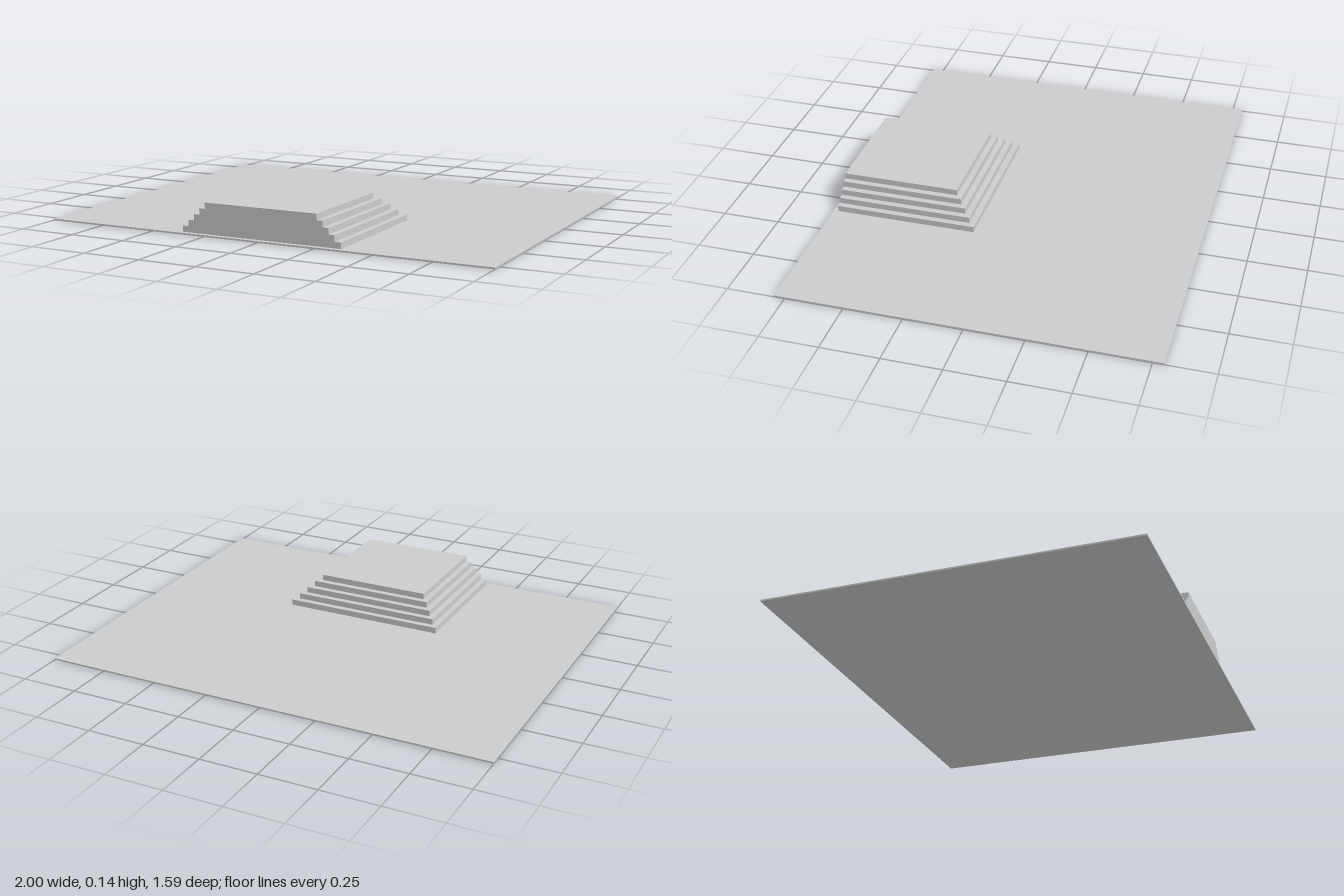
import * as THREE from 'three';

export function createModel() {
  const group = new THREE.Group();
  const material = new THREE.MeshStandardMaterial({ color: 0xcccccc, flatShading: true });

  // Box given by half width, vertical range and depth range
  const addSlab = (name, halfWidth, y0, y1, z0, z1) => {
    const slab = new THREE.Mesh(new THREE.BoxGeometry(2 * halfWidth, y1 - y0, z1 - z0), material);
    slab.position.set(0, (y0 + y1) / 2, (z0 + z1) / 2);
    slab.name = name;
    group.add(slab);
  };

  // Thin ground plate
  const plateTop = 0.007;
  addSlab('floorPlate', 1, 0, plateTop, -0.796, 0.796);

  // Stepped platform: tiers share a flush front and recede on the sides and back
  const tiers = 5, rise = 0.026, inset = 0.0264, front = 0.775;
  for (let i = 0; i < tiers; i++) {
    const y = plateTop + i * rise;
    addSlab(`stepTier${i + 1}`, 0.36 - i * inset, y, y + rise, 0.157 + i * inset, front);
  }
  return group;
}
